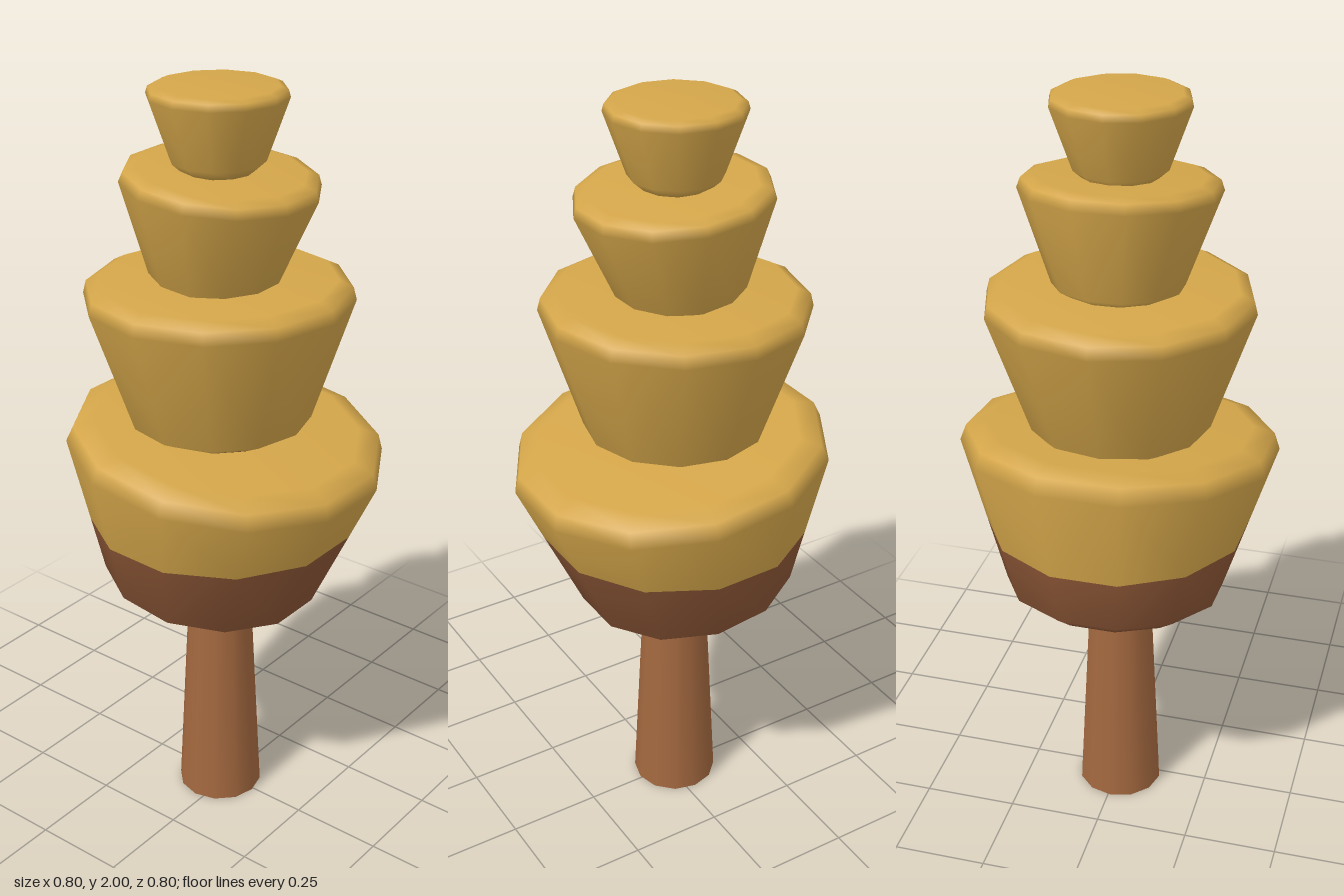
import * as THREE from 'three';

const mat = (name, color) => new THREE.MeshStandardMaterial({ name, color });
const SIDES = 12;

// Tilted, smooth-shaded foliage tier: profile runs from the underside to the top rim,
// heights measured from the top centre. The band below split.y takes the second material.
function tier({ name, centre, tilt, turn, profile, split }, leaf, underside) {
  const [cx, cy, cz] = centre;
  const place = (x, y, z) => new THREE.Vector3(x, y, z)
    .applyAxisAngle(new THREE.Vector3(1, 0, 0), tilt)
    .add(new THREE.Vector3(cx, cy, cz));

  const rings = profile.map(([r, y]) => Array.from({ length: SIDES }, (_, j) => {
    const a = THREE.MathUtils.degToRad(turn) + (j / SIDES) * Math.PI * 2;
    return place(r * Math.cos(a), y, r * Math.sin(a));
  }));

  // Extra ring where the colour changes, level with the ground
  if (split) {
    const [low, high] = [rings[split.after], rings[split.after + 1]];
    const cut = low.map((p, j) => {
      const t = (split.y - p.y) / (high[j].y - p.y);
      return p.clone().lerp(high[j], THREE.MathUtils.clamp(t, 0.03, 0.97));
    });
    rings.splice(split.after + 1, 0, cut);
  }

  const points = [...rings.flat(), place(0, profile[0][1], 0), place(0, 0, 0)];
  const bottom = rings.length * SIDES;
  const top = bottom + 1;
  const last = (rings.length - 1) * SIDES;
  const index = [];
  for (let j = 0; j < SIDES; j++) index.push(bottom, j, (j + 1) % SIDES);
  let lowerCount = 0;
  for (let i = 0; i < rings.length - 1; i++) {
    for (let j = 0; j < SIDES; j++) {
      const k = (j + 1) % SIDES;
      const a = i * SIDES + j, b = a + SIDES, c = (i + 1) * SIDES + k, d = i * SIDES + k;
      index.push(a, b, c, a, c, d);
    }
    if (split && i === split.after) lowerCount = index.length;
  }
  for (let j = 0; j < SIDES; j++) index.push(top, last + (j + 1) % SIDES, last + j);

  const geo = new THREE.BufferGeometry().setFromPoints(points);
  geo.setIndex(index);
  geo.computeVertexNormals();
  if (split) {
    geo.addGroup(0, lowerCount, 1);
    geo.addGroup(lowerCount, index.length - lowerCount, 0);
  }
  const mesh = new THREE.Mesh(geo, split ? [leaf, underside] : leaf);
  mesh.name = name;
  return mesh;
}

export function createModel() {
  const model = new THREE.Group();
  model.name = 'tieredTree';
  const gold = mat('goldenLeaf', 0xd4a64a);
  const brown = mat('brownLeaf', 0x8c5636);
  const bark = mat('bark', 0xa3683f);

  // Tapered trunk
  const trunk = new THREE.Mesh(new THREE.CylinderGeometry(0.083, 0.115, 0.66, 12), bark);
  trunk.name = 'trunk';
  trunk.position.set(-0.006, 0.33, -0.025);
  model.add(trunk);

  // Foliage tiers, from the bottom up
  const tiers = [
    {
      name: 'lowestTier', centre: [0, 1.124, 0], tilt: 0.125, turn: 15,
      profile: [[0.15, -0.512], [0.23, -0.49], [0.29, -0.45], [0.415, -0.06], [0.4, -0.018], [0.345, 0]],
      split: { after: 2, y: 0.86 },
    },
    {
      name: 'secondTier', centre: [-0.005, 1.522, -0.028], tilt: -0.012, turn: -2,
      profile: [[0.15, -0.415], [0.235, -0.37], [0.343, -0.05], [0.335, -0.018], [0.3, 0]],
      split: { after: 0, y: 1.118 },
    },
    {
      name: 'thirdTier', centre: [-0.005, 1.797, -0.017], tilt: 0.09, turn: 13,
      profile: [[0.12, -0.295], [0.165, -0.27], [0.249, -0.035], [0.24, -0.01], [0.21, 0]],
    },
    {
      name: 'topTier', centre: [-0.007, 2, -0.028], tilt: 0, turn: -1,
      profile: [[0.09, -0.205], [0.118, -0.18], [0.173, -0.025], [0.168, -0.008], [0.15, 0]],
    },
  ];
  for (const t of tiers) model.add(tier(t, gold, brown));
  return model;
}
